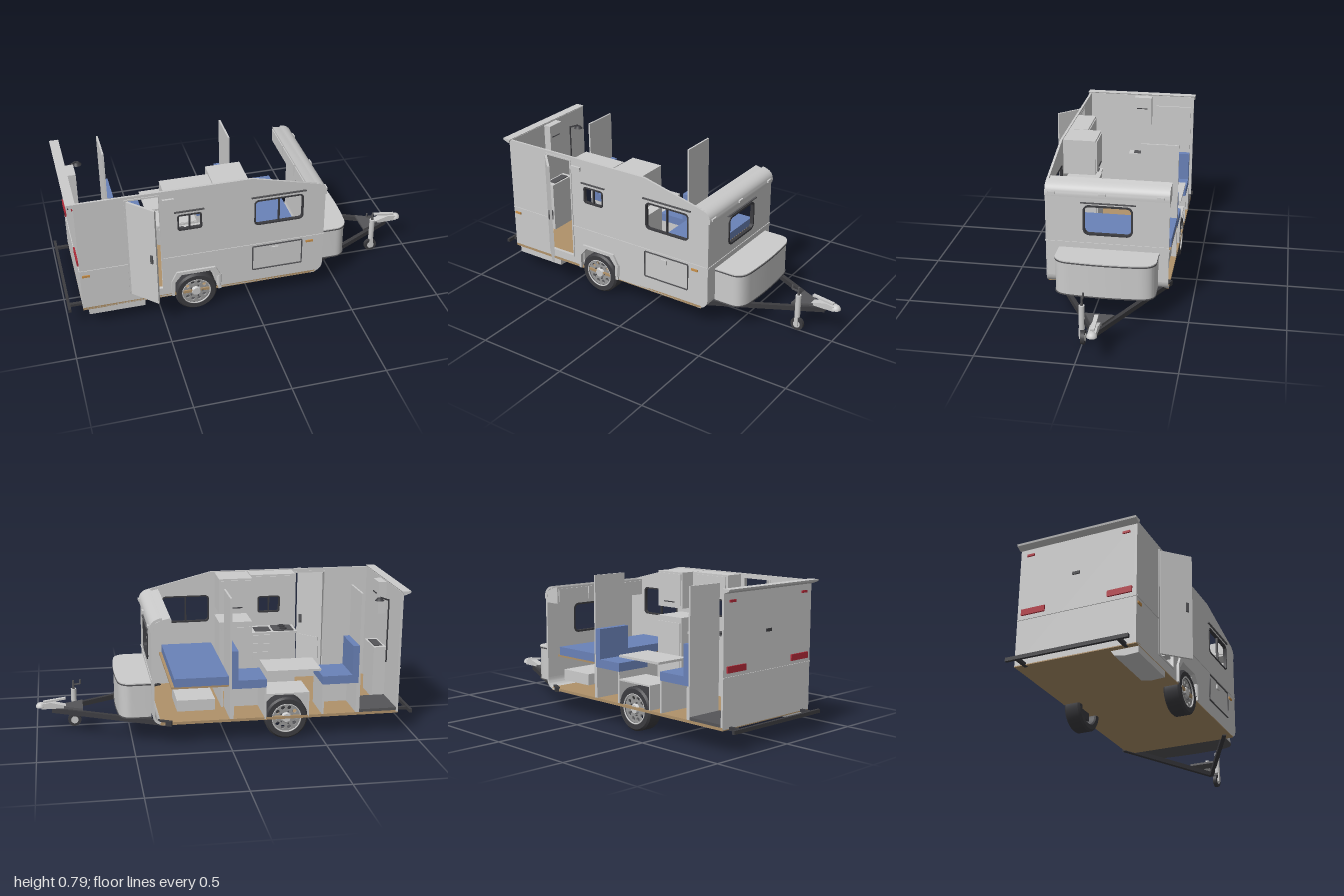
import * as THREE from 'three';
import { toCreasedNormals } from 'three/addons/utils/BufferGeometryUtils.js';

const mat = (color) => new THREE.MeshStandardMaterial({ color, side: THREE.DoubleSide });
const GREY = mat(0xcccccc), DARK = mat(0x555558), BLACK = mat(0x3c3c40), BLUE = mat(0x6a82b8);
const WOOD = mat(0xb0926a), RED = mat(0xb02a38), ORANGE = mat(0xc8904a);
const Z0 = -0.38, Z1 = 0.265, T = 0.012; // body sides and wall thickness

function add(parent, name, geo, m = GREY) {
  const mesh = new THREE.Mesh(geo, m);
  mesh.name = name;
  parent.add(mesh);
  return mesh;
}
function box(parent, name, [x0, x1], [y0, y1], [z0, z1], m) {
  const mesh = add(parent, name, new THREE.BoxGeometry(x1 - x0, y1 - y0, z1 - z0), m);
  mesh.position.set((x0 + x1) / 2, (y0 + y1) / 2, (z0 + z1) / 2);
  return mesh;
}
function cyl(parent, name, r0, r1, h, [x, y, z], m, axis = 'y', n = 24) {
  const g = new THREE.CylinderGeometry(r1, r0, h, n);
  if (axis === 'z') g.rotateX(Math.PI / 2);
  if (axis === 'x') g.rotateZ(-Math.PI / 2);
  const mesh = add(parent, name, g, m);
  mesh.position.set(x, y, z);
  return mesh;
}
const poly = (pts, C = THREE.Shape) => new C(pts.map((p) => new THREE.Vector2(...p)));
function roundRect(x0, x1, y0, y1, r, C = THREE.Shape) {
  const s = new C();
  s.absarc(x1 - r, y1 - r, r, 0, Math.PI / 2);
  s.absarc(x0 + r, y1 - r, r, Math.PI / 2, Math.PI);
  s.absarc(x0 + r, y0 + r, r, Math.PI, Math.PI * 1.5);
  s.absarc(x1 - r, y0 + r, r, Math.PI * 1.5, Math.PI * 2);
  s.closePath();
  return s;
}
const extrude = (s, depth) => toCreasedNormals(
  new THREE.ExtrudeGeometry(s, { depth, bevelEnabled: false, curveSegments: 12 }), 0.6);
// Rounded frame with an open middle
function frame(x0, x1, y0, y1, r, w, depth) {
  const s = roundRect(x0, x1, y0, y1, r);
  s.holes.push(roundRect(x0 + w, x1 - w, y0 + w, y1 - w, Math.max(r - w, 0.002), THREE.Path));
  return extrude(s, depth);
}
// Straight square bar between two points
function beam(parent, name, a, b, w, h, m) {
  const A = new THREE.Vector3(...a), B = new THREE.Vector3(...b);
  const mesh = add(parent, name, new THREE.BoxGeometry(w, h, A.distanceTo(B)), m);
  mesh.position.copy(A).add(B).multiplyScalar(0.5);
  mesh.lookAt(B);
  return mesh;
}

function makeWheel() {
  const g = new THREE.Group();
  const v = (x, y) => new THREE.Vector2(x, y);
  const tyre = new THREE.LatheGeometry([v(0.075, -0.035), v(0.08, -0.044), v(0.105, -0.045), v(0.115, -0.035),
    v(0.115, 0.035), v(0.105, 0.045), v(0.08, 0.044), v(0.075, 0.035)], 40).rotateX(Math.PI / 2);
  add(g, 'tyre', toCreasedNormals(tyre, 0.6), BLACK);
  add(g, 'rimBarrel', new THREE.CylinderGeometry(0.077, 0.077, 0.075, 40, 1, true).rotateX(Math.PI / 2), DARK);
  add(g, 'rimEdge', new THREE.TorusGeometry(0.077, 0.004, 8, 40)).position.z = 0.041;
  const disc = new THREE.Shape().absarc(0, 0, 0.077, 0, Math.PI * 2);
  for (let i = 0; i < 10; i++) {
    const a = i * Math.PI / 5;
    disc.holes.push(new THREE.Path().absarc(0.056 * Math.cos(a), 0.056 * Math.sin(a), 0.011, 0, Math.PI * 2));
  }
  add(g, 'rimDisc', extrude(disc, 0.008), mat(0x999999)).position.z = 0.024;
  box(g, 'rimBack', [-0.045, 0.045], [-0.045, 0.045], [-0.02, -0.01], BLACK);
  cyl(g, 'hub', 0.03, 0.022, 0.014, [0, 0, 0.037], GREY, 'z');
  for (let i = 0; i < 5; i++) {
    const a = i * Math.PI * 0.4;
    cyl(g, 'wheelBolt', 0.004, 0.004, 0.012, [0.034 * Math.cos(a), 0.034 * Math.sin(a), 0.035], DARK, 'z', 6);
  }
  return g;
}

function buildShell(g) {
  box(g, 'floor', [-0.92, 0.36], [0.115, 0.13], [Z0, Z1], WOOD);
  // Side wall with door, windows and wheel cut-out
  const wall = poly([[-0.92, 0.12], [-0.43, 0.12], [-0.43, 0.2], [-0.39, 0.25], [-0.23, 0.25], [-0.19, 0.2], [-0.19, 0.12], [0.35, 0.12],
    [0.385, 0.135], [0.4, 0.17], [0.4, 0.64], [0.395, 0.665], [0.37, 0.687], [0, 0.78], [-0.92, 0.78]]);
  wall.holes.push(poly([[-0.66, 0.175], [-0.49, 0.175], [-0.49, 0.757], [-0.66, 0.757]], THREE.Path));
  const windows = [[0.01, 0.28, 0.49, 0.645, 0.025], [-0.4, -0.27, 0.53, 0.627, 0.015]];
  for (const w of windows) wall.holes.push(roundRect(...w, THREE.Path));
  add(g, 'sideWall', extrude(wall, T)).position.z = Z1 - T;
  for (const [x0, x1, y0, y1, r] of windows) {
    const xm = (x0 + x1) / 2;
    add(g, 'sideWindowFrame', frame(x0, x1, y0, y1, r, 0.008, 0.018), BLACK).position.z = Z1 - 0.014;
    box(g, 'windowBar', [xm - 0.004, xm + 0.004], [y0, y1], [Z1 - 0.01, Z1 + 0.002], BLACK);
    box(g, 'windowRail', [x0 - 0.015, x1 + 0.012], [y1 + 0.016, y1 + 0.023], [Z1, Z1 + 0.008], DARK);
  }
  // Belt moulding, hatch and small fittings on the side
  for (const [a, b] of [[-0.92, -0.66], [-0.49, 0.4]]) box(g, 'beltMoulding', [a, b], [0.363, 0.369], [Z1, Z1 + 0.004]);
  add(g, 'hatchFrame', frame(0, 0.28, 0.2, 0.355, 0.008, 0.005, 0.006), DARK).position.z = Z1;
  box(g, 'hatchHandle', [0.108, 0.145], [0.31, 0.335], [Z1, Z1 + 0.008]);
  for (const x of [-0.89, 0.32]) box(g, 'sideMarker', [x - 0.02, x + 0.02], [0.329, 0.341], [Z1, Z1 + 0.006], ORANGE);
  box(g, 'entryLamp', [-0.475, -0.415], [0.712, 0.735], [Z1, Z1 + 0.012]);
  cyl(g, 'powerInlet', 0.014, 0.014, 0.07, [-0.185, 0.175, Z1], GREY);
  add(g, 'doorFrame', frame(-0.668, -0.482, 0.168, 0.765, 0.008, 0.009, 0.018)).position.z = Z1 - 0.014;

  // Front wall: flat panel, rolled nose and curved foot
  const front = poly([[-Z1, 0.17], [-Z0, 0.17], [-Z0, 0.63], [-Z1, 0.63]]);
  front.holes.push(roundRect(-0.065, 0.19, 0.415, 0.575, 0.03, THREE.Path));
  add(g, 'frontWall', extrude(front, T).rotateY(Math.PI / 2)).position.x = 0.4 - T;
  add(g, 'frontWindowFrame', frame(-0.068, 0.193, 0.412, 0.578, 0.033, 0.01, 0.02).rotateY(Math.PI / 2), BLACK).position.x = 0.385;
  const nose = new THREE.Shape();
  nose.moveTo(0.408, 0.62);
  nose.bezierCurveTo(0.412, 0.665, 0.39, 0.685, 0.345, 0.693);
  nose.lineTo(0.342, 0.682);
  nose.bezierCurveTo(0.375, 0.675, 0.395, 0.66, 0.39, 0.62);
  add(g, 'noseRoll', extrude(nose, Z1 - Z0)).position.z = Z0;
  const foot = new THREE.Shape();
  foot.moveTo(0.4, 0.18);
  foot.quadraticCurveTo(0.4, 0.118, 0.33, 0.115);
  foot.lineTo(0.33, 0.125);
  foot.quadraticCurveTo(0.388, 0.128, 0.388, 0.18);
  add(g, 'frontFoot', extrude(foot, Z1 - Z0)).position.z = Z0;
  box(g, 'frontRail', [0.4, 0.41], [0.588, 0.593], [-0.207, 0.08], DARK);
  box(g, 'frontBelt', [0.4, 0.404], [0.362, 0.368], [Z0, Z1]);
  for (const z of [0.23, -0.033, -0.335]) box(g, 'frontMarker', [0.4, 0.416], [0.634, 0.647], [z - 0.019, z + 0.019]);

  // Rear wall with lip, lamps and lock
  box(g, 'rearWall', [-0.92, -0.92 + T], [0.12, 0.78], [Z0, Z1]);
  add(g, 'rearLip', extrude(poly([[-0.958, 0.785], [-0.955, 0.775], [-0.92, 0.762], [-0.908, 0.785]]), 0.66)).position.z = -0.386;
  box(g, 'rearBelt', [-0.924, -0.92], [0.363, 0.369], [Z0, Z1]);
  for (const s of [-1, 1]) {
    const z = -0.0575 + s * 0.235;
    box(g, 'tailLamp', [-0.928, -0.92], [0.388, 0.42], [z - 0.065, z + 0.065], RED);
    box(g, 'upperLamp', [-0.926, -0.92], [0.72, 0.732], [z + s * 0.03 - 0.02, z + s * 0.03 + 0.02], RED);
  }
  box(g, 'rearLock', [-0.926, -0.92], [0.555, 0.57], [-0.08, -0.04], BLACK);

  // Door swung open on its rear hinge
  const door = new THREE.Group();
  door.name = 'door';
  box(door, 'doorPanel', [0, 0.17], [0.178, 0.755], [-T, 0]);
  box(door, 'doorHandle', [0.135, 0.15], [0.43, 0.48], [-0.02, 0.006], DARK);
  box(door, 'doorPocket', [0.02, 0.15], [0.2, 0.36], [-0.016, -T]);
  door.position.set(-0.66, 0, 0.272);
  door.rotation.y = -Math.PI / 4;
  g.add(door);
  // Entry step below the floor
  add(g, 'entryStep', extrude(poly([[0.12, 0.118], [0.14, 0.088], [0.19, 0.078], [0.265, 0.082], [0.265, 0.118]].map(([z, y]) => [-z, y])), 0.3)
    .rotateY(Math.PI / 2)).position.x = -0.89;
}

function buildChassis(g) {
  for (const [z, turn, in0, in1] of [[0.225, 0, 0.16, 0.255], [-0.335, Math.PI, -0.38, -0.19]]) {
    const w = makeWheel();
    w.name = 'wheel';
    w.position.set(-0.31, 0.118, z);
    w.rotation.y = turn;
    g.add(w);
    // Wheel housing: top, ends and inner side
    box(g, 'archTop', [-0.43, -0.19], [0.25, 0.258], [in0, in1]);
    for (const x of [-0.43, -0.198]) box(g, 'archEnd', [x, x + 0.008], [0.12, 0.255], [in0, in1]);
    const s = turn ? in1 : in0;
    box(g, 'archSide', [-0.43, -0.19], [0.12, 0.255], [s - 0.004, s + 0.004]);
  }
  // Fender lip around the wheel opening
  add(g, 'fenderLip', extrude(poly([[-0.445, 0.12], [-0.43, 0.12], [-0.43, 0.2], [-0.39, 0.25], [-0.23, 0.25], [-0.19, 0.2], [-0.19, 0.12],
    [-0.175, 0.12], [-0.175, 0.21], [-0.205, 0.268], [-0.415, 0.268], [-0.445, 0.21]]), 0.018)).position.z = Z1 - 0.006;

  // Drawbar, coupling and jockey wheel
  for (const z of [0.235, -0.385]) beam(g, 'drawbar', [0.3, 0.124, z], [0.91, 0.124, -0.08], 0.022, 0.026, BLACK);
  add(g, 'drawbarPlate', extrude(poly([[0.75, 0.155], [0.85, 0.108], [0.85, 0.052], [0.75, 0.005]].map(([x, z]) => [x, z])), 0.012)
    .rotateX(-Math.PI / 2), DARK).position.y = 0.137;
  add(g, 'couplingBody', extrude(poly([[0.83, 0.137], [0.97, 0.137], [0.97, 0.165], [0.92, 0.172], [0.84, 0.15]]), 0.04)).position.z = -0.1;
  const cup = add(g, 'couplingCup', new THREE.SphereGeometry(0.026, 24, 10, 0, Math.PI * 2, 0, Math.PI / 2));
  cup.position.set(0.974, 0.145, -0.08);
  beam(g, 'couplingLever', [0.84, 0.188, -0.08], [0.96, 0.172, -0.08], 0.02, 0.01);
  const jx = 0.795;
  cyl(g, 'jockeyTube', 0.015, 0.015, 0.13, [jx, 0.147, 0.002]);
  cyl(g, 'jockeyPole', 0.007, 0.005, 0.05, [jx, 0.233, 0.002], DARK);
  beam(g, 'jockeyCrank', [jx, 0.235, 0.002], [jx - 0.035, 0.238, 0.002], 0.007, 0.007, DARK);
  cyl(g, 'crankGrip', 0.005, 0.005, 0.025, [jx - 0.037, 0.249, 0.002], DARK);
  box(g, 'jockeyFork', [jx - 0.01, jx + 0.01], [0.03, 0.09], [0.01, 0.016]);
  cyl(g, 'jockeyWheel', 0.036, 0.036, 0.02, [jx, 0.036, -0.004], BLACK, 'z');
  cyl(g, 'jockeyHub', 0.02, 0.02, 0.026, [jx, 0.036, -0.004], GREY, 'z');

  // Rear bumper
  box(g, 'bumper', [-0.998, -0.983], [0.113, 0.132], [-0.385, 0.262], BLACK);
  for (const z of [-0.325, 0.208]) box(g, 'bumperArm', [-0.985, -0.9], [0.113, 0.128], [z - 0.009, z + 0.009], BLACK);

  // Storage box on the drawbar
  const plan = (o) => {
    const s = new THREE.Shape(), a = -0.195 - o, b = 0.33 + o;
    s.moveTo(0.4, a);
    s.lineTo(0.5, a);
    s.bezierCurveTo(0.55 + o, a, 0.57 + o, a + 0.04, 0.572 + o, a + 0.09);
    s.quadraticCurveTo(0.588 + o, (a + b) / 2, 0.572 + o, b - 0.09);
    s.bezierCurveTo(0.57 + o, b - 0.04, 0.55 + o, b, 0.5, b);
    s.lineTo(0.4, b);
    return s;
  };
  for (const [name, o, y, h, m] of [['storageBox', -0.003, 0.145, 0.182, GREY], ['boxSill', 0, 0.142, 0.006, DARK],
    ['boxSeal', 0.001, 0.322, 0.007, DARK], ['boxLid', 0, 0.329, 0.006, GREY]]) {
    add(g, name, extrude(plan(o), h).rotateX(-Math.PI / 2), m).position.y = y;
  }
}

function buildInterior(g) {
  // Partitions and shower corner
  for (const x of [-0.705, -0.016]) box(g, 'partition', [x, x + 0.01], [0.13, 0.78], [Z0, -0.175]);
  box(g, 'showerTray', [-0.908, -0.705], [0.13, 0.145], [Z0, -0.165], DARK);
  cyl(g, 'showerRail', 0.004, 0.004, 0.35, [-0.89, 0.53, -0.23], BLACK);
  beam(g, 'showerArm', [-0.89, 0.7, -0.23], [-0.84, 0.72, -0.24], 0.008, 0.008, BLACK);
  cyl(g, 'showerHead', 0.025, 0.012, 0.014, [-0.835, 0.71, -0.24], BLACK);
  box(g, 'washCabinet', [-0.908, -0.84], [0.13, 0.42], [-0.165, 0.01]);
  box(g, 'basin', [-0.895, -0.85], [0.42, 0.424], [-0.14, -0.02], DARK);
  box(g, 'mirrorCabinet', [-0.908, -0.865], [0.6, 0.775], [-0.125, -0.02]);
  box(g, 'mirrorHandle', [-0.865, -0.86], [0.705, 0.709], [-0.1, -0.035], BLACK);
  // Dinette: two facing benches and a table
  for (const [x0, x1, back] of [[-0.695, -0.5, -0.695], [-0.2, -0.016, -0.05]]) {
    for (const x of [x0, x1 - 0.01]) box(g, 'benchEnd', [x, x + 0.01], [0.13, 0.295], [Z0, -0.18]);
    box(g, 'benchSide', [x0, x1], [0.13, 0.295], [-0.19, -0.18]);
    box(g, 'benchCushion', [x0, x1], [0.295, 0.34], [Z0, -0.18], BLUE);
    box(g, 'benchBackrest', [back, back + 0.034], [0.34, 0.5], [Z0, -0.18], BLUE);
  }
  box(g, 'table', [-0.49, -0.2], [0.372, 0.384], [Z0, -0.178]);
  // Bed with drawer base
  box(g, 'mattress', [0, 0.285], [0.32, 0.365], [Z0, 0.25], BLUE);
  box(g, 'bedBoard', [0, 0.3], [0.31, 0.32], [Z0, 0.25], WOOD);
  box(g, 'bedFrontPanel', [0, 0.01], [0.13, 0.31], [-0.19, 0.25]);
  box(g, 'bedDrawer', [0.07, 0.27], [0.18, 0.24], [-0.36, -0.12]);
  // Kitchen and tall cabinet
  box(g, 'kitchenBase', [-0.465, -0.212], [0.265, 0.44], [0.12, 0.25]);
  box(g, 'kitchenPlinth', [-0.465, -0.212], [0.13, 0.265], [0.12, 0.155]);
  box(g, 'worktop', [-0.472, -0.21], [0.44, 0.452], [0.11, 0.253]);
  box(g, 'hob', [-0.455, -0.34], [0.452, 0.457], [0.125, 0.235], DARK);
  for (const z of [0.153, 0.207]) cyl(g, 'burner', 0.02, 0.02, 0.006, [-0.4, 0.46, z], BLACK);
  box(g, 'sink', [-0.325, -0.235], [0.452, 0.455], [0.13, 0.22], DARK);
  for (let i = 0; i < 3; i++) box(g, 'drawerFront', [-0.33, -0.22], [0.29 + i * 0.05, 0.335 + i * 0.05], [0.115, 0.12]);
  box(g, 'overheadCabinet', [-0.465, -0.21], [0.655, 0.775], [0.15, 0.253]);
  box(g, 'overheadDoor', [-0.45, -0.225], [0.665, 0.765], [0.145, 0.15]);
  box(g, 'fridgeCabinet', [-0.205, -0.02], [0.13, 0.53], [0.07, 0.253]);
  box(g, 'fridgeDoor', [-0.195, -0.03], [0.15, 0.5], [0.064, 0.07]);
  box(g, 'tallCabinet', [-0.205, -0.02], [0.58, 0.775], [0.075, 0.253]);
  box(g, 'tallCabinetDoor', [-0.195, -0.03], [0.595, 0.765], [0.069, 0.075]);
  box(g, 'cabinetHandle', [-0.15, -0.075], [0.61, 0.615], [0.064, 0.07], BLACK);
  // Lockers over the bed
  add(g, 'frontLocker', extrude(poly([[0.3, 0.6], [0.388, 0.6], [0.388, 0.66], [0.35, 0.68], [0.3, 0.69]]), 0.633)).position.z = Z0;
  for (let i = 0; i < 3; i++) box(g, 'lockerDoor', [0.295, 0.3], [0.61, 0.68], [-0.37 + i * 0.21, -0.175 + i * 0.21]);
}

export function createModel() {
  const group = new THREE.Group();
  for (const [name, build] of [['shell', buildShell], ['chassis', buildChassis], ['interior', buildInterior]]) {
    const part = new THREE.Group();
    part.name = name;
    build(part);
    group.add(part);
  }
  return group;
}
